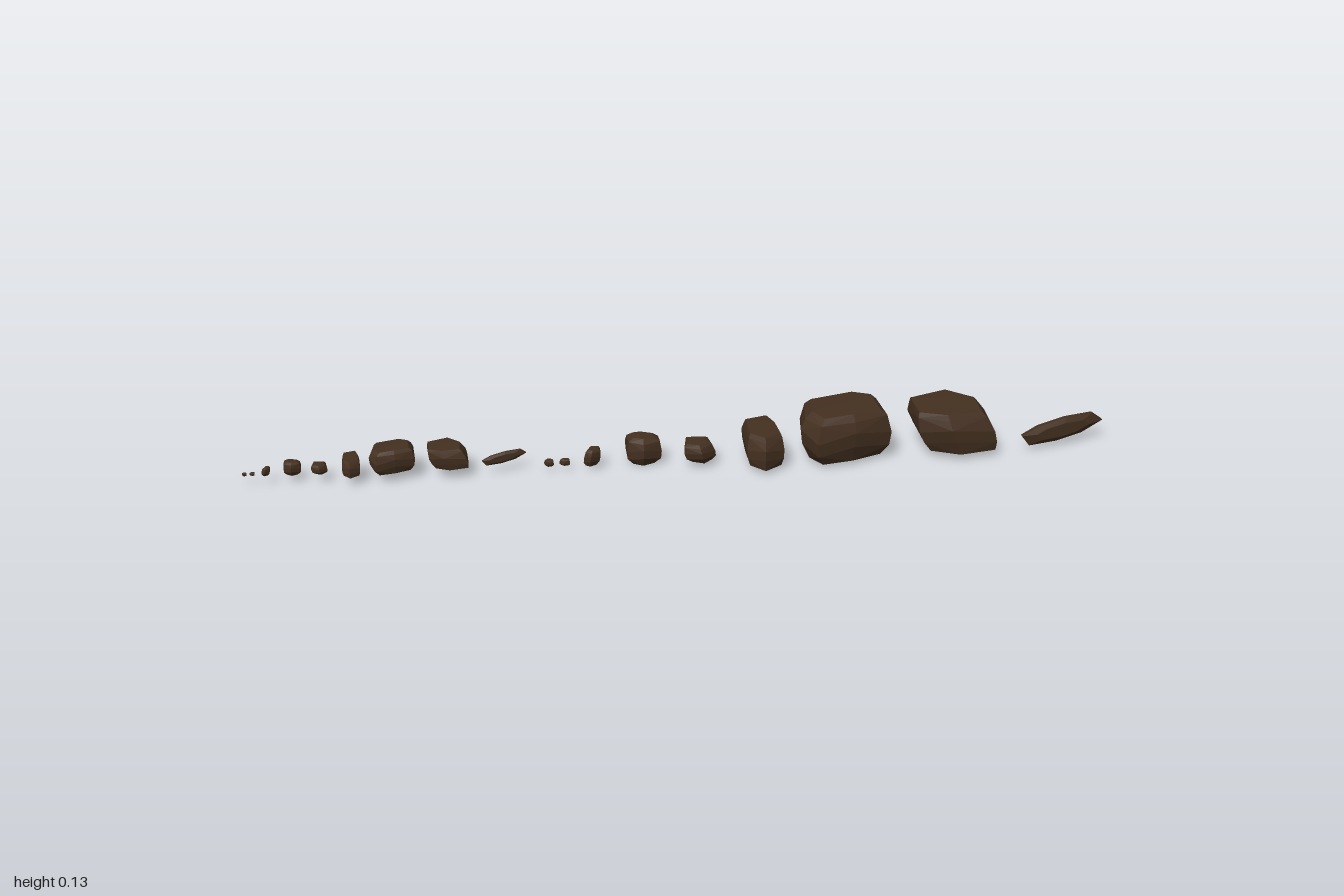
import * as THREE from 'three';
import { ConvexGeometry } from 'three/addons/geometries/ConvexGeometry.js';

const material = new THREE.MeshStandardMaterial({ color: 0x443020, flatShading: true });

// Stone from a plan outline [x, z]: inset bottom and top faces around a zigzag
// waist; lean shifts the top one way and the bottom the other.
function stone({ plan, y0, y1, lean = [0, 0], inset = 0.75 }) {
  const cx = plan.reduce((s, p) => s + p[0], 0) / plan.length;
  const cz = plan.reduce((s, p) => s + p[1], 0) / plan.length;
  const points = [];
  const h = y1 - y0;
  plan.forEach(([x, z], i) => {
    const ring = (t, s) => points.push(new THREE.Vector3(
      cx + (x - cx) * s + lean[0] * (t - 0.5),
      y0 + h * t,
      cz + (z - cz) * s + lean[1] * (t - 0.5)));
    ring(0, inset);
    ring(i % 2 ? 0.35 : 0.22, 0.96);
    ring(i % 2 ? 0.65 : 0.5, 1);
    ring(0.86, 0.9);
    ring(i % 2 ? 1 : 0.98, inset * 0.96);
  });
  return new ConvexGeometry(points);
}

// Thin upright flake from a front outline [x, y], turned slightly in plan.
function flake(outline) {
  const points = [];
  for (const [x, y] of outline) {
    const z = 0.028 - 0.3 * (x - 0.79);
    points.push(new THREE.Vector3(x, y, z - 0.005), new THREE.Vector3(x, y, z + 0.005));
    const mx = 0.895 + (x - 0.895) * 0.65;
    const my = 0.042 + (y - 0.042) * 0.6;
    const mz = 0.028 - 0.3 * (mx - 0.79);
    points.push(new THREE.Vector3(mx, my, mz - 0.013), new THREE.Vector3(mx, my, mz + 0.013));
  }
  return new ConvexGeometry(points);
}

const stones = [
  { name: 'blockStone', y0: 0.015, y1: 0.115, lean: [-0.035, 0], inset: 0.86,
    plan: [[0.65, -0.108], [0.72, -0.04], [0.72, 0.055], [0.62, 0.078], [0.545, 0.045], [0.54, -0.055]] },
  { name: 'largestStone', y0: 0.01, y1: 0.126, inset: 0.78,
    plan: [[0.415, -0.1], [0.47, -0.068], [0.48, 0.04], [0.39, 0.08], [0.3, 0.1], [0.267, 0.045], [0.28, -0.055]] },
  { name: 'wedgeStone', y0: 0.01, y1: 0.085, lean: [0, -0.015], inset: 0.84,
    plan: [[0.203, -0.056], [0.22, 0], [0.227, 0.07], [0.18, 0.106], [0.142, 0.065], [0.14, -0.03]] },
  { name: 'pebble', y0: 0.012, y1: 0.058, lean: [-0.012, 0], inset: 0.65,
    plan: [[0.01, -0.016], [0.065, -0.012], [0.072, 0.03], [0.04, 0.065], [0, 0.047]] },
  { name: 'roundPebble', y0: 0, y1: 0.067, inset: 0.6,
    plan: [[-0.1, -0.04], [-0.052, -0.015], [-0.05, 0.018], [-0.093, 0.04], [-0.13, 0.018], [-0.132, -0.028]] },
  { name: 'smallPebble', y0: 0.01, y1: 0.05, lean: [0.006, 0], inset: 0.65,
    plan: [[-0.218, 0.003], [-0.193, 0.008], [-0.192, 0.03], [-0.215, 0.045], [-0.23, 0.034]] },
  { name: 'innerChip', y0: 0.013, y1: 0.028, inset: 0.7,
    plan: [[-0.28, 0.02], [-0.263, 0.022], [-0.262, 0.034], [-0.275, 0.037], [-0.286, 0.029]] },
  { name: 'outerChip', y0: 0.012, y1: 0.027, inset: 0.7,
    plan: [[-0.314, 0.016], [-0.3, 0.022], [-0.299, 0.033], [-0.313, 0.037], [-0.321, 0.026]] },
];

const parts = stones.map((s) => [s.name, stone(s)]);
parts.push(['flakeStone', flake([
  [0.79, 0.04], [0.83, 0.057], [0.9, 0.068], [0.97, 0.068],
  [0.998, 0.046], [0.945, 0.023], [0.88, 0.013], [0.81, 0.013]])]);

function stoneRow(name) {
  const row = new THREE.Group();
  row.name = name;
  for (const [partName, geometry] of parts) {
    const mesh = new THREE.Mesh(geometry, material);
    mesh.name = partName;
    row.add(mesh);
  }
  return row;
}

export function createModel() {
  const group = new THREE.Group();
  group.name = 'stoneTrail';

  // The row tapers, then repeats at about half size as its tail
  const tail = stoneRow('smallRow');
  tail.scale.setScalar(0.485);
  tail.position.set(-0.845, 0.017, 0.025);

  group.add(stoneRow('largeRow'), tail);
  return group;
}
